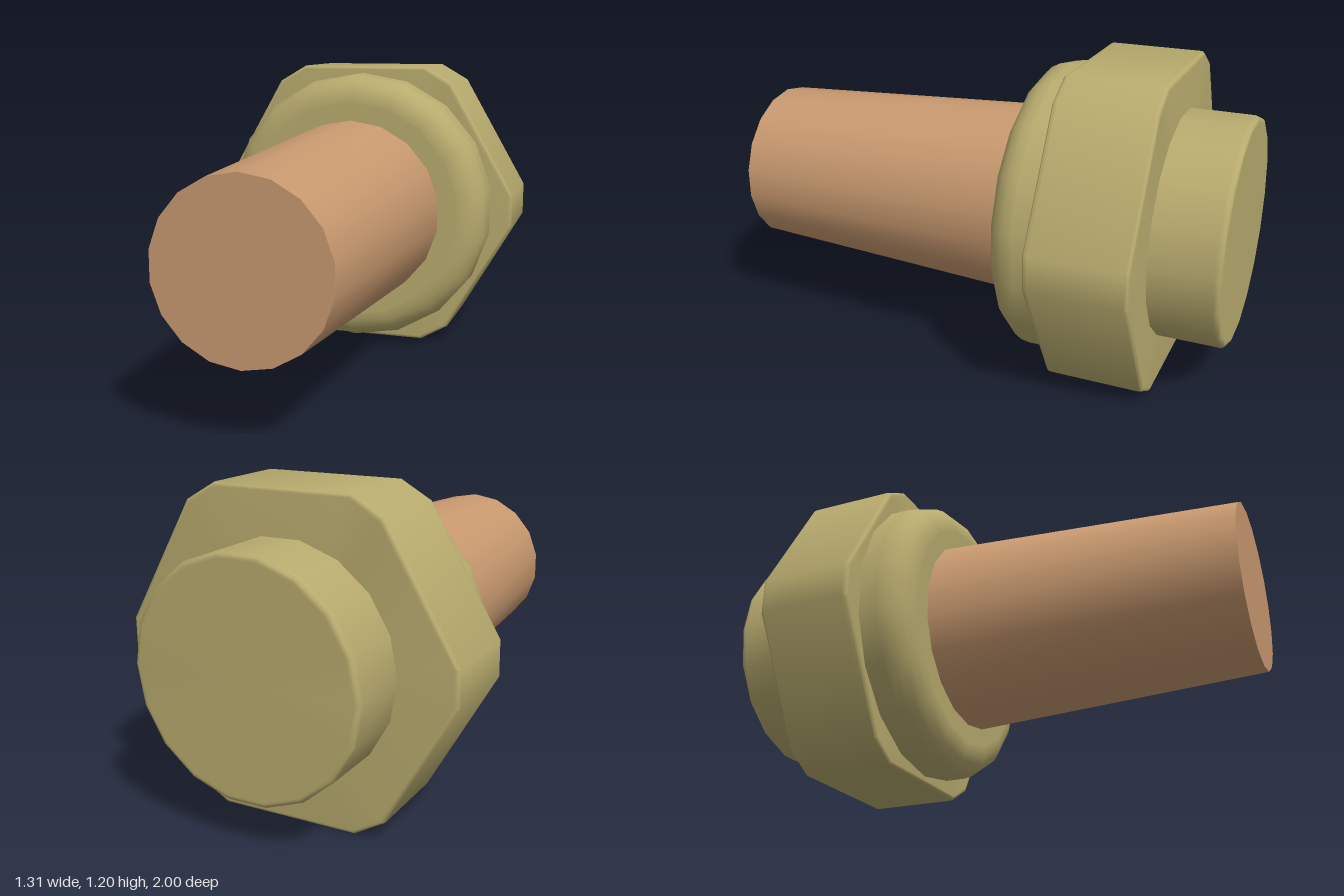
import * as THREE from 'three';
import { toCreasedNormals } from 'three/addons/utils/BufferGeometryUtils.js';

const CENTER_Y = 0.605;
const olive = new THREE.MeshStandardMaterial({ color: 0xb8ab6e });
olive.name = 'olive metal';
const copper = new THREE.MeshStandardMaterial({ color: 0xc8996f });
copper.name = 'copper brown';

// Evenly spaced outline angles, starting at a given angle
const evenAngles = (n, start) =>
  Array.from({ length: n }, (_, i) => start + (i * 2 * Math.PI) / n);

// Hexagon outline with its six corners cut off
const hexAngles = () => {
  const cut = Math.atan2(0.067, 0.655);
  return evenAngles(6, 0).flatMap((a) => [a - cut, a + cut]);
};

// Rounded profile corner; a support point on each side keeps the flats flat
function roundCorner(r, z, bevel, facing, steps = 3) {
  const pts = [[r, z - facing * (bevel + 0.006)]];
  for (let i = 0; i <= steps; i++) {
    const t = (i / steps) * Math.PI / 2;
    pts.push([r - bevel * (1 - Math.cos(t)), z - facing * bevel * (1 - Math.sin(t))]);
  }
  pts.push([r - bevel - 0.006, z]);
  return facing > 0 ? pts : pts.reverse();
}

// Closed solid from [radius, z] rings, listed back to front
function solid(name, angles, profile, material) {
  const n = angles.length;
  const pos = [];
  const index = [];
  for (const [r, z] of profile)
    for (const a of angles) pos.push(r * Math.cos(a), r * Math.sin(a), z);
  const last = profile.length - 1;
  const back = pos.length / 3;
  pos.push(0, 0, profile[0][1], 0, 0, profile[last][1]);
  for (let j = 0; j < n; j++) {
    const k = (j + 1) % n;
    for (let i = 0; i < last; i++) {
      const a = i * n + j, b = i * n + k;
      index.push(a, b, a + n, b, b + n, a + n);
    }
    index.push(back, k, j, back + 1, last * n + j, last * n + k);
  }
  const g = new THREE.BufferGeometry();
  g.setAttribute('position', new THREE.Float32BufferAttribute(pos, 3));
  g.setIndex(index);
  const mesh = new THREE.Mesh(toCreasedNormals(g, 0.6), material);
  mesh.name = name;
  mesh.position.y = CENTER_Y;
  return mesh;
}

export function createModel() {
  const group = new THREE.Group();
  group.name = 'bolt';
  const cornerUp = evenAngles(18, Math.PI / 2);
  const cornerSide = evenAngles(18, 0);

  group.add(
    // Tapered shaft
    solid('shaft', cornerUp, [[0.383, -0.2], [0.323, 1]], copper),
    // Round-shouldered collar
    solid('collar', cornerUp,
      [[0.572, -0.4], ...roundCorner(0.572, -0.176, 0.11, 1, 5)], olive),
    // Hexagonal nut with cut corners
    solid('hexNut', hexAngles(),
      [...roundCorner(0.6585, -0.743, 0.016, -1), ...roundCorner(0.6585, -0.364, 0.016, 1)], olive),
    // Round cap at the back
    solid('backCap', cornerSide,
      [...roundCorner(0.438, -1, 0.018, -1), [0.438, -0.72]], olive),
  );
  return group;
}
